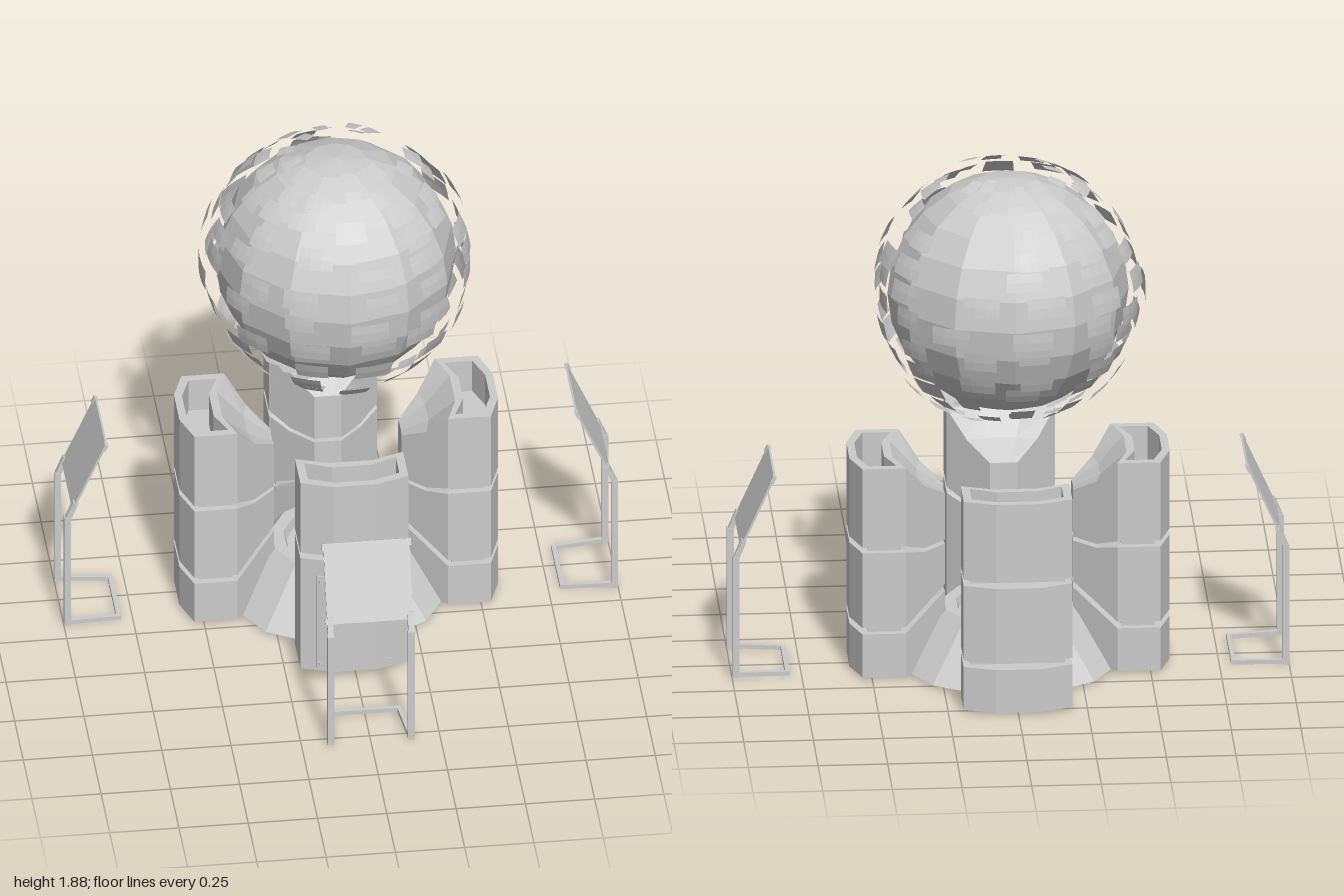
import * as THREE from 'three';
import { mergeGeometries } from 'three/addons/utils/BufferGeometryUtils.js';

const mat = new THREE.MeshStandardMaterial({ color: 0xcccccc, flatShading: true });
const thin = new THREE.MeshStandardMaterial({ color: 0xcccccc, flatShading: true, side: THREE.DoubleSide });
const CENTRE = -0.23; // z of the tower and globe axis

function add(parent, name, geometry, material = mat) {
  const mesh = new THREE.Mesh(geometry, material);
  mesh.name = name;
  parent.add(mesh);
  return mesh;
}

function box(parent, name, size, position) {
  const mesh = add(parent, name, new THREE.BoxGeometry(...size));
  mesh.position.set(...position);
  return mesh;
}

// Square bar between two points
function bar(parent, name, a, b, t = 0.024) {
  const p = new THREE.Vector3(...a), q = new THREE.Vector3(...b);
  const mesh = add(parent, name, new THREE.BoxGeometry(t, t, p.distanceTo(q) + t * 0.6));
  mesh.position.copy(p).add(q).multiplyScalar(0.5);
  mesh.lookAt(q);
  return mesh;
}

// Sweeps (radius, height) profiles across four stations: the middle two bulge outward,
// and everything nearer the axis than r = 0.38 narrows at 45 degrees to leave diagonal gaps
function facetedBlock(profiles, halfWidth, bulge) {
  const shapes = profiles.map(list => new THREE.Shape(list.map(([r, y]) => new THREE.Vector2(r, y))));
  const geo = new THREE.ExtrudeGeometry(shapes, { depth: 3, steps: 3, bevelEnabled: false });
  const stations = [halfWidth, 0.08, -0.08, -halfWidth];
  const p = geo.attributes.position;
  for (let i = 0; i < p.count; i++) {
    const s = Math.round(p.getZ(i)), r = p.getX(i);
    const k = Math.min(1, (r - 0.18) / 0.2);
    const push = s === 1 || s === 2 ? bulge * k * k : 0;
    p.setXYZ(i, stations[s] * k, p.getY(i), r + push);
  }
  geo.computeVertexNormals();
  return geo;
}

// Each block has a tapering inner part and a straight outer part, meeting at r = 0.38
const topBlock = [
  [[0.23, 0.475], [0.31, 0.475], [0.38, 0.51], [0.38, 0.81], [0.31, 0.715], [0.23, 0.655]],
  [[0.38, 0.51], [0.535, 0.51], [0.535, 0.68], [0.4, 0.68], [0.4, 0.81], [0.38, 0.81]]];
const midBlock = [
  [[0.23, 0.305], [0.38, 0.2], [0.38, 0.487], [0.31, 0.46], [0.23, 0.46]],
  [[0.38, 0.2], [0.535, 0.2], [0.535, 0.487], [0.38, 0.487]]];
const lowBlock = [
  [[0.23, 0.01], [0.38, 0.01], [0.38, 0.175], [0.23, 0.28]],
  [[0.38, 0.01], [0.535, 0.01], [0.535, 0.175], [0.38, 0.175]]];
const tallBlock = [
  [[0.23, 0.01], [0.38, 0.01], [0.38, 0.487], [0.31, 0.46], [0.23, 0.46]],
  [[0.38, 0.01], [0.535, 0.01], [0.535, 0.487], [0.38, 0.487]]];
const doorBlock = [[[0.5, 0.025], [0.56, 0.025], [0.56, 0.42], [0.5, 0.42]]];

// Open rim around the trough on top of a bay
function rimGeometry() {
  const pts = list => list.map(([x, r]) => new THREE.Vector2(x, -r));
  const shape = new THREE.Shape(pts([[-0.195, 0.385], [-0.08, 0.43], [0.08, 0.43], [0.195, 0.385],
    [0.195, 0.535], [0.08, 0.575], [-0.08, 0.575], [-0.195, 0.535]]));
  shape.holes.push(new THREE.Path(pts([[-0.165, 0.41], [-0.07, 0.45], [0.07, 0.45], [0.165, 0.41],
    [0.165, 0.512], [0.07, 0.547], [-0.07, 0.547], [-0.165, 0.512]]).reverse()));
  return new THREE.ExtrudeGeometry(shape, { depth: 0.13, bevelEnabled: false })
    .rotateX(-Math.PI / 2).translate(0, 0.68, 0);
}

function makeBay(isFront) {
  const bay = new THREE.Group();
  add(bay, 'upperBlock', facetedBlock(topBlock, 0.195, 0.04));
  add(bay, 'troughRim', rimGeometry());
  box(bay, 'recessedCore', [0.34, 0.5, 0.12], [0, 0.35, 0.455]);
  if (isFront) {
    add(bay, 'lowerBlock', facetedBlock(tallBlock, 0.195, 0.04));
    add(bay, 'door', facetedBlock(doorBlock, 0.14, 0.02));
    for (const x of [-0.125, 0.125]) for (const y of [0.045, 0.4])
      box(bay, 'doorBolt', [0.012, 0.012, 0.012], [x, y, 0.564]);
  } else {
    add(bay, 'middleBlock', facetedBlock(midBlock, 0.195, 0.04));
    add(bay, 'lowerBlock', facetedBlock(lowBlock, 0.195, 0.04));
  }
  return bay;
}

// Sign stand; its outer face lies on local z = 0 and its foot reaches inward
function makeStand() {
  const stand = new THREE.Group();
  stand.name = 'signStand';
  for (const s of [-1, 1]) {
    bar(stand, 'leg', [s * 0.145, 0.012, -0.013], [s * 0.145, 0.46, -0.013]);
    bar(stand, 'legBend', [s * 0.145, 0.46, -0.013], [s * 0.145, 0.525, -0.04], 0.02);
    bar(stand, 'footSide', [s * 0.142, 0.014, -0.013], [s * 0.125, 0.008, -0.2], 0.016);
  }
  bar(stand, 'footCross', [-0.125, 0.008, -0.2], [0.125, 0.008, -0.2], 0.016);

  const panel = new THREE.Group();
  panel.name = 'panel';
  box(panel, 'board', [0.31, 0.295, 0.008], [0, 0, 0]);
  for (const x of [-0.15, 0.15]) for (const y of [-0.135, 0.135])
    box(panel, 'cornerClip', [0.022, 0.026, 0.014], [x, y, 0]);
  panel.position.set(0, 0.64, -0.092);
  panel.rotation.x = -0.42;
  stand.add(panel);
  return stand;
}

// Loose plates floating just off the globe
function plateGeometry() {
  let seed = 7;
  const rnd = () => (seed = (seed * 16807) % 2147483647) / 2147483647;
  const plates = [];
  for (let row = 0; row < 13; row++) {
    for (let col = 0; col < 12; col++) {
      const keep = row === 0 || row === 12 ? 0.6 : 0.9;
      if (rnd() > keep) continue;
      const phi = (col + (rnd() - 0.5) * 0.5) * Math.PI / 6;
      const theta = THREE.MathUtils.degToRad(17 + row * 11.5 + (rnd() - 0.5) * 4);
      const w = 0.23 + rnd() * 0.08, h = 0.135 + rnd() * 0.03;
      plates.push(new THREE.SphereGeometry(0.46 + rnd() * 0.035, 1, 1, phi, w, theta, h));
    }
  }
  return mergeGeometries(plates);
}

export function createModel() {
  const model = new THREE.Group();
  model.name = 'globeKiosk';

  const tower = new THREE.Group();
  tower.name = 'tower';
  tower.position.z = CENTRE;
  model.add(tower);

  // Conical plinth with a sunken floor
  const plinth = [[0, 0.01], [0.41, 0.01], [0.235, 0.212], [0.19, 0.212], [0.18, 0.18], [0, 0.18]];
  add(tower, 'plinth', new THREE.LatheGeometry(plinth.map(p => new THREE.Vector2(...p)), 12, Math.PI / 12));

  // Four bays around the axis
  ['frontBay', 'leftBay', 'backBay', 'rightBay'].forEach((name, i) => {
    const bay = makeBay(i === 0);
    bay.name = name;
    bay.rotation.y = i * Math.PI / 2;
    tower.add(bay);
  });

  // Globe
  const globe = new THREE.Group();
  globe.name = 'globe';
  globe.position.set(0, 1.41, CENTRE);
  add(globe, 'ball', new THREE.SphereGeometry(0.433, 12, 12));
  add(globe, 'floatingPlates', plateGeometry(), thin);
  model.add(globe);

  // Stands at the front and both sides
  for (const [x, z, yaw] of [[0, 0.8, 0], [1, CENTRE, Math.PI / 2], [-1, CENTRE, -Math.PI / 2]]) {
    const stand = makeStand();
    stand.position.set(x, 0, z);
    stand.rotation.y = yaw;
    model.add(stand);
  }
  return model;
}
